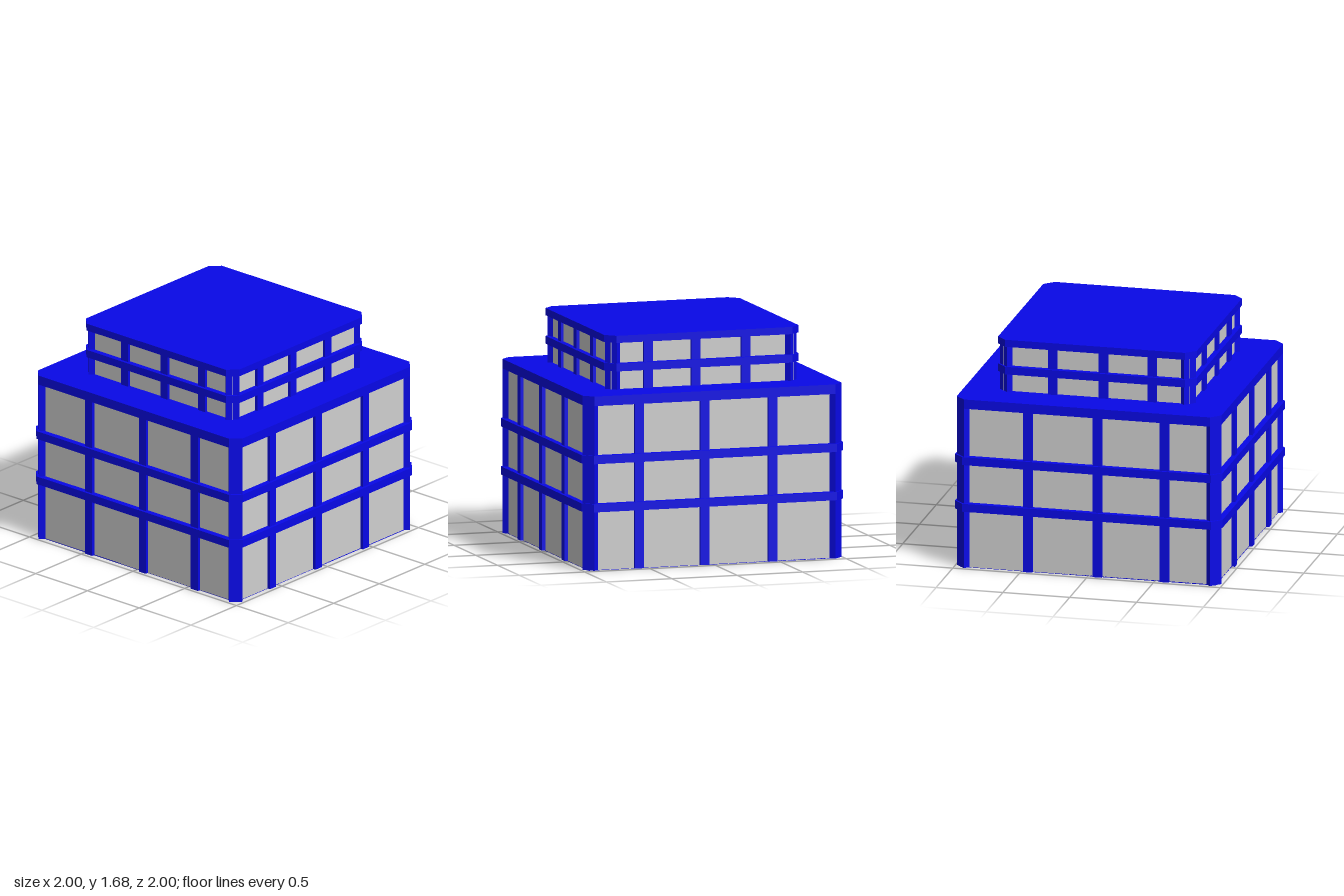
import * as THREE from 'three';

const blue = new THREE.MeshStandardMaterial({ color: 0x0a0aff });
blue.name = 'blue frame';
const grey = new THREE.MeshStandardMaterial({ color: 0xd0d0d0 });
grey.name = 'grey glazing';

// Vertical prism from a plan outline, between two heights
function prism(name, points, y0, y1, material) {
  const shape = new THREE.Shape(points.map(([x, y]) => new THREE.Vector2(x, y)));
  const geometry = new THREE.ExtrudeGeometry(shape, { depth: y1 - y0, bevelEnabled: false });
  geometry.rotateX(-Math.PI / 2).translate(0, y0, 0);
  const mesh = new THREE.Mesh(geometry, material);
  mesh.name = name;
  return mesh;
}

// Square slab with cut corners
function slab(name, half, cut, y0, y1) {
  const c = half - cut;
  return prism(name, [
    [half, -c], [half, c], [c, half], [-c, half],
    [-half, c], [-half, -c], [-c, -half], [c, -half],
  ], y0, y1, blue);
}

function box(name, w, h, d, x, y, z, material) {
  const mesh = new THREE.Mesh(new THREE.BoxGeometry(w, h, d), material);
  mesh.name = name;
  mesh.position.set(x, y, z);
  return mesh;
}

// One block: glazed core, corner posts, mullions, floor bands and roof
function tier({ name, y0, y1, wall, post, mullionHalf, mullions, bands, roof }) {
  const group = new THREE.Group();
  group.name = name;
  const h = y1 - y0, mid = (y0 + y1) / 2;
  group.add(box('glazedWalls', wall * 2, h, wall * 2, 0, mid, 0, grey));

  // Chamfered corner posts with sloped returns to the wall
  const c = post - 0.07, r = c - (post - wall);
  for (let i = 0; i < 4; i++) {
    const mesh = prism('cornerPost', [[wall, r], [post, c], [c, post], [r, wall]], y0, y1, blue);
    mesh.rotation.y = i * Math.PI / 2;
    group.add(mesh);
  }

  // Mullions share the same spacing on opposite faces
  const depth = mullionHalf - wall + 0.01, centre = mullionHalf - depth / 2;
  for (const m of mullions) {
    for (const s of [-1, 1]) {
      group.add(box('mullion', 0.068, h, depth, m, mid, s * centre, blue));
      group.add(box('mullion', depth, h, 0.068, s * centre, mid, m, blue));
    }
  }

  for (const [half, a, b] of bands) group.add(slab('floorBand', half, 0.07, a, b));
  group.add(slab('roofSlab', roof[0], 0.07, roof[1], roof[2]));
  return group;
}

export function createModel() {
  const model = new THREE.Group();
  model.name = 'officeBuilding';

  model.add(tier({
    name: 'lowerBlock', y0: 0.003, y1: 1.22, wall: 0.955, post: 0.99, mullionHalf: 0.98,
    mullions: [-0.446, 0.074, 0.575],
    bands: [[1, 0.433, 0.493], [1, 0.787, 0.847]],
    roof: [0.99, 1.212, 1.282],
  }));

  model.add(tier({
    name: 'upperBlock', y0: 1.28, y1: 1.64, wall: 0.7, post: 0.733, mullionHalf: 0.722,
    mullions: [-0.325, 0.056, 0.42],
    bands: [[0.743, 1.418, 1.475]],
    roof: [0.743, 1.627, 1.68],
  }));

  // Underside of the building
  model.add(box('basePlate', 1.91, 0.006, 1.91, 0, 0.003, 0, blue));
  return model;
}
